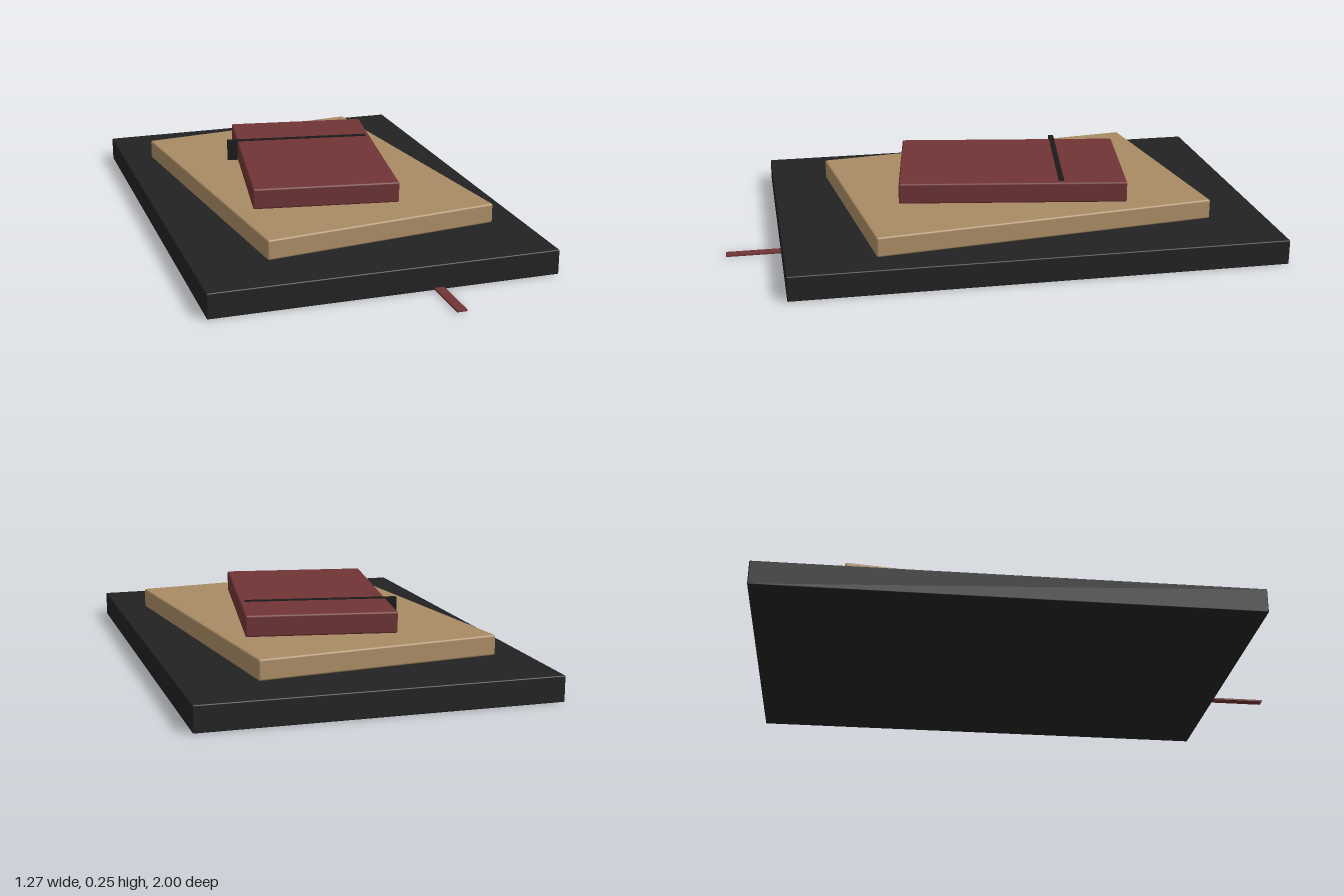
import * as THREE from 'three';
import { RoundedBoxGeometry } from 'three/addons/geometries/RoundedBoxGeometry.js';

const paint = (name, color) => {
  const m = new THREE.MeshStandardMaterial({ color });
  m.name = name;
  return m;
};

export function createModel() {
  const black = paint('black cover', 0x222222);
  const tan = paint('tan cover', 0xa98b64);
  const red = paint('dark red leather', 0x703435);
  const strapBlack = paint('elastic black', 0x1a1a1a);

  const model = new THREE.Group();
  model.name = 'notebookStack';

  // A softly edged book lying flat, turned about the stack's axis
  const addBook = (name, material, w, d, bottom, top, turn, radius) => {
    const book = new THREE.Group();
    book.name = name;
    book.position.set(0, bottom, -0.1);
    book.rotation.y = turn;
    const h = top - bottom;
    const body = new THREE.Mesh(new RoundedBoxGeometry(w, h, d, 2, radius), material);
    body.name = name + 'Body';
    body.position.y = h / 2;
    book.add(body);
    model.add(book);
    return book;
  };

  addBook('largeBook', black, 1.27, 1.8, 0, 0.092, 0, 0.004);
  addBook('middleBook', tan, 0.897, 1.278, 0.092, 0.166, 0.122, 0.007);
  const small = addBook('smallNotebook', red, 0.541, 0.846, 0.166, 0.244, -0.159, 0.007);

  // Elastic strap crossing the small notebook, overhanging on one side
  const strap = new THREE.Mesh(new THREE.BoxGeometry(0.562, 0.08, 0.02), strapBlack);
  strap.name = 'elasticStrap';
  strap.position.set(-0.029, 0.041, -0.18);
  small.add(strap);

  // Ribbon bookmark lying out of the front edge
  const ribbon = new THREE.Mesh(new THREE.BoxGeometry(0.036, 0.006, 0.3), red);
  ribbon.name = 'ribbonBookmark';
  ribbon.position.set(0.181, 0.006, 0.85);
  model.add(ribbon);

  return model;
}
